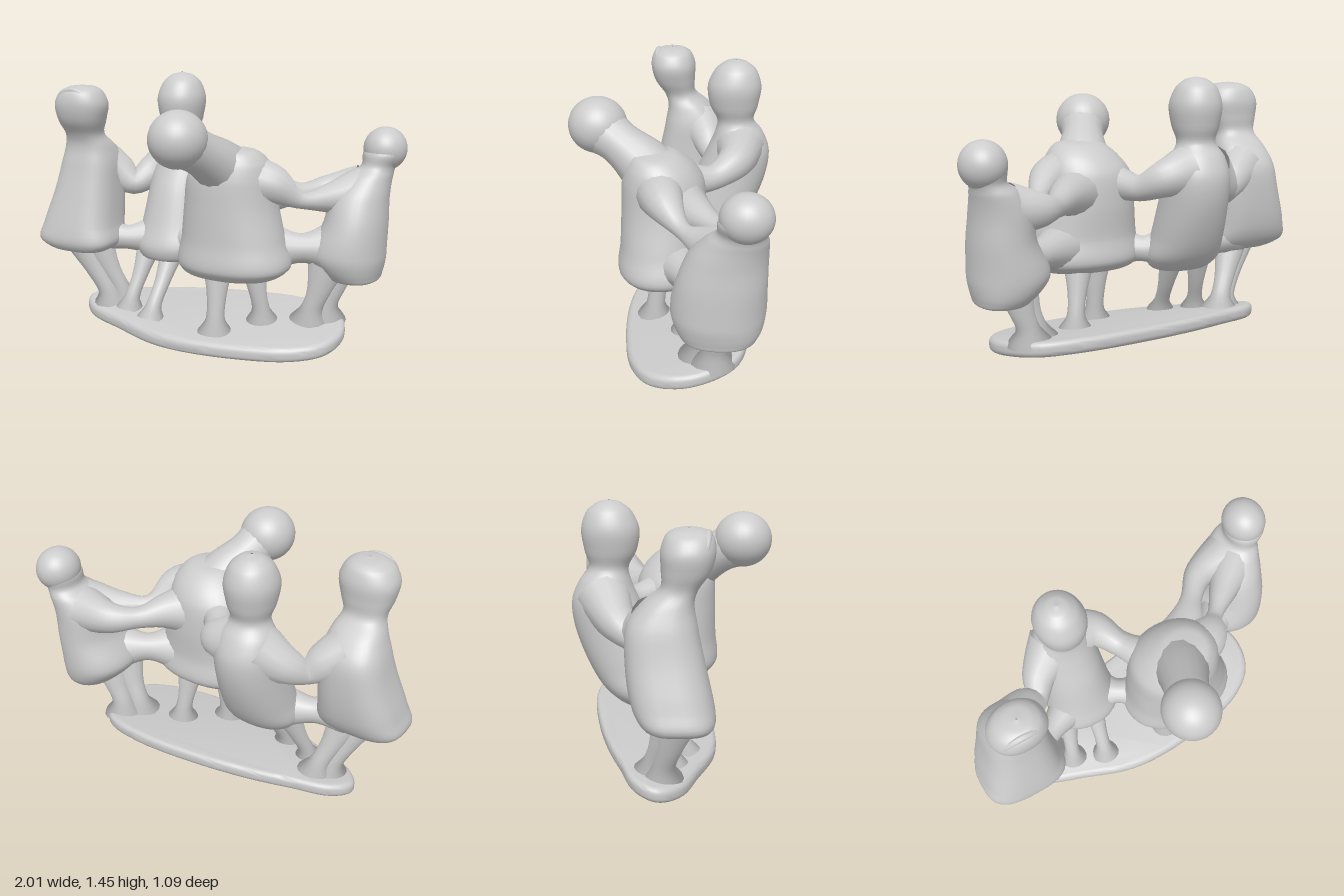
import * as THREE from 'three';
import { toCreasedNormals } from 'three/addons/utils/BufferGeometryUtils.js';

const material = new THREE.MeshStandardMaterial({ color: 0xcccccc, roughness: 0.8, side: THREE.DoubleSide });

function add(parent, name, geometry) {
  const mesh = new THREE.Mesh(geometry, material);
  mesh.name = name;
  parent.add(mesh);
  return mesh;
}

// Smooth loft through horizontal ovals: [y, x, z, radiusX, radiusZ], bottom to top.
// A lower power squares the hem; the ovals become round towards the top.
function loft(sections, power, steps = 56, sides = 36) {
  const path = new THREE.CatmullRomCurve3(sections.map(([y, x, z]) => new THREE.Vector3(x, y, z)));
  const size = new THREE.SplineCurve(sections.map((s) => new THREE.Vector2(s[3], s[4])));
  const pos = [], index = [];
  for (let i = 0; i <= steps; i++) {
    const t = i / steps, p = path.getPoint(t), r = size.getPoint(t);
    const soft = (v) => Math.sign(v) * Math.abs(v) ** (power + (1 - power) * t);
    for (let j = 0; j < sides; j++) {
      const a = (j / sides) * Math.PI * 2;
      pos.push(p.x + soft(Math.cos(a)) * Math.max(r.x, 0.003), p.y, p.z + soft(Math.sin(a)) * Math.max(r.y, 0.003));
      if (i === steps) continue;
      const k = i * sides + j, n = i * sides + ((j + 1) % sides);
      index.push(k, k + sides, n, n, k + sides, n + sides);
    }
  }
  const g = new THREE.BufferGeometry();
  g.setAttribute('position', new THREE.Float32BufferAttribute(pos, 3));
  g.setIndex(index);
  g.computeVertexNormals();
  return g;
}

// Tube whose radius varies along its path: [x, y, z, radius]
function limb(points, steps = 28, sides = 16) {
  const curve = new THREE.CatmullRomCurve3(points.map(([x, y, z]) => new THREE.Vector3(x, y, z)));
  const radii = new THREE.SplineCurve(points.map((p, i) => new THREE.Vector2(i, p[3])));
  const g = new THREE.TubeGeometry(curve, steps, 1, sides);
  const pos = g.attributes.position, v = new THREE.Vector3();
  for (let i = 0; i <= steps; i++) {
    const c = curve.getPointAt(i / steps);
    const r = radii.getPoint(curve.getUtoTmapping(i / steps)).y;
    for (let j = 0; j <= sides; j++) {
      const k = i * (sides + 1) + j;
      v.fromBufferAttribute(pos, k).sub(c).multiplyScalar(r).add(c);
      pos.setXYZ(k, v.x, v.y, v.z);
    }
  }
  return g;
}

function ball(parent, name, center, scale) {
  const mesh = add(parent, name, new THREE.SphereGeometry(1, 32, 24));
  mesh.position.set(...center);
  mesh.scale.set(...scale);
}

// Height of the sloping ground at depth z
const ground = (z) => 0.085 + (0.22 - z) * 0.16;

// Leg from hip to ankle, flaring out where it meets the ground
function leg(parent, hip, foot, r) {
  const [hx, hy, hz] = hip, [fx, fz] = foot, y = ground(fz);
  const mix = (a, b, t) => a + (b - a) * t;
  add(parent, 'leg', limb([
    [hx, hy, hz, r * 1.6],
    [mix(hx, fx, 0.5), mix(hy, y, 0.5), mix(hz, fz, 0.5), r],
    [mix(hx, fx, 0.88), y + 0.06, mix(hz, fz, 0.88), r * 0.95],
    [fx, y - 0.015, fz, r * 1.8],
  ]));
}

function figure(parent, name, power, sections) {
  const group = new THREE.Group();
  group.name = name;
  parent.add(group);
  add(group, 'dressAndBody', loft(sections, power));
  return group;
}

export function createModel() {
  const model = new THREE.Group();

  // Irregular oval base, sloping up towards the back
  const outline = [[-0.755, -0.07], [-0.69, -0.16], [-0.5, -0.23], [-0.3, -0.3], [0, -0.37], [0.4, -0.41], [0.63, -0.36],
    [0.75, -0.16], [0.72, 0.02], [0.58, 0.13], [0.3, 0.2], [0, 0.225], [-0.2, 0.205], [-0.45, 0.12], [-0.68, 0.03]];
  const rim = new THREE.CatmullRomCurve3(outline.map(([x, z]) => new THREE.Vector3(x, -z, 0)), true).getPoints(90);
  const slab = new THREE.ExtrudeGeometry(new THREE.Shape(rim.slice(0, -1).map((p) => new THREE.Vector2(p.x, p.y))),
    { depth: 0.02, bevelSize: 0.03, bevelThickness: 0.03, bevelSegments: 5 });
  slab.rotateX(-Math.PI / 2).translate(0, 0.03, 0);
  const sp = slab.attributes.position;
  for (let i = 0; i < sp.count; i++) sp.setY(i, sp.getY(i) + (0.25 - sp.getZ(i)) * 0.16);
  add(model, 'base', toCreasedNormals(slab, 0.9));

  // Far right dancer, upright, in a headscarf and a squarish coat
  const scarf = figure(model, 'scarfDancer', 0.6, [
    [0.52, -0.77, 0.03, 0.01, 0.01], [0.45, -0.74, 0.05, 0.13, 0.11], [0.5, -0.765, 0.035, 0.235, 0.175],
    [0.6, -0.765, 0.005, 0.22, 0.195], [0.8, -0.74, -0.03, 0.185, 0.185], [0.95, -0.725, -0.04, 0.165, 0.165],
    [1.05, -0.72, -0.01, 0.135, 0.12], [1.12, -0.72, 0.04, 0.11, 0.09], [1.2, -0.715, 0.07, 0.135, 0.115],
    [1.29, -0.71, 0.08, 0.152, 0.128], [1.36, -0.705, 0.085, 0.12, 0.11], [1.388, -0.7, 0.085, 0.07, 0.07], [1.397, -0.7, 0.085, 0.005, 0.005]]);
  const band = add(scarf, 'scarfEdge', new THREE.TorusGeometry(0.11, 0.018, 12, 40));
  band.position.set(-0.71, 1.265, 0.143);
  band.rotation.x = 0.25;
  leg(scarf, [-0.76, 0.5, 0.04], [-0.62, -0.04], 0.062);
  leg(scarf, [-0.69, 0.5, 0], [-0.57, -0.09], 0.06);

  // Tallest dancer, at the back, leaning away
  const tall = figure(model, 'tallDancer', 0.9, [
    [0.48, -0.28, -0.1, 0.01, 0.01], [0.41, -0.28, -0.12, 0.13, 0.1], [0.48, -0.28, -0.16, 0.2, 0.17],
    [0.6, -0.28, -0.22, 0.19, 0.19], [0.8, -0.28, -0.29, 0.175, 0.195], [0.95, -0.28, -0.33, 0.165, 0.17],
    [1.05, -0.28, -0.33, 0.14, 0.13], [1.12, -0.28, -0.31, 0.1, 0.1], [1.2, -0.28, -0.3, 0.12, 0.13],
    [1.31, -0.28, -0.3, 0.135, 0.145], [1.4, -0.28, -0.305, 0.105, 0.11], [1.443, -0.28, -0.305, 0.055, 0.055], [1.455, -0.28, -0.305, 0.005, 0.005]]);
  leg(tall, [-0.4, 0.5, -0.14], [-0.46, 0.01], 0.046);
  leg(tall, [-0.24, 0.5, -0.14], [-0.28, 0.08], 0.046);

  // Front dancer, bowing forward
  const bowing = figure(model, 'bowingDancer', 0.88, [
    [0.49, 0.2, 0.05, 0.01, 0.01], [0.42, 0.2, 0.05, 0.21, 0.14], [0.48, 0.215, 0.035, 0.31, 0.23],
    [0.62, 0.21, 0.035, 0.285, 0.22], [0.8, 0.195, 0.03, 0.255, 0.22], [0.95, 0.195, 0.035, 0.235, 0.21],
    [1.04, 0.215, 0.05, 0.19, 0.17], [1.1, 0.225, 0.07, 0.12, 0.11], [1.12, 0.225, 0.08, 0.005, 0.005]]);
  add(bowing, 'neck', limb([[0.21, 0.94, 0.05, 0.17], [0.17, 1.03, 0.15, 0.14], [0.12, 1.11, 0.27, 0.115], [0.08, 1.17, 0.37, 0.135]]));
  ball(bowing, 'head', [0.07, 1.185, 0.39], [0.15, 0.148, 0.155]);
  leg(bowing, [0.13, 0.5, 0.05], [0.13, 0.09], 0.055);
  leg(bowing, [0.28, 0.5, -0.06], [0.32, -0.11], 0.052);

  // Smallest dancer, at the far left
  const small = figure(model, 'smallDancer', 0.88, [
    [0.45, 0.77, -0.3, 0.01, 0.01], [0.39, 0.79, -0.3, 0.11, 0.15], [0.43, 0.77, -0.3, 0.155, 0.2],
    [0.53, 0.74, -0.295, 0.2, 0.23], [0.7, 0.775, -0.31, 0.165, 0.215], [0.85, 0.785, -0.34, 0.15, 0.185],
    [0.95, 0.825, -0.38, 0.115, 0.145], [1, 0.86, -0.4, 0.09, 0.115], [1.08, 0.885, -0.415, 0.105, 0.115], [1.14, 0.89, -0.42, 0.005, 0.005]]);
  ball(small, 'head', [0.885, 1.085, -0.42], [0.115, 0.117, 0.125]);
  leg(small, [0.66, 0.48, -0.2], [0.57, -0.2], 0.065);
  leg(small, [0.71, 0.48, -0.28], [0.63, -0.27], 0.065);

  // Arms joined hand to hand, shoulder to shoulder; the small dancer reaches out with both
  const arms = [
    [[-0.7, 0.95, -0.07, 0.13], [-0.61, 0.88, -0.13, 0.105], [-0.53, 0.81, -0.17, 0.065], [-0.46, 0.87, -0.26, 0.095], [-0.32, 0.98, -0.34, 0.14]],
    [[-0.24, 0.98, -0.34, 0.14], [-0.1, 0.94, -0.32, 0.1], [-0.01, 0.88, -0.21, 0.07], [0.06, 0.89, -0.1, 0.09], [0.16, 0.92, 0, 0.13]],
    [[0.24, 0.94, 0.05, 0.15], [0.41, 0.925, 0.01, 0.11], [0.53, 0.83, -0.1, 0.045], [0.64, 0.83, -0.2, 0.075], [0.79, 0.86, -0.33, 0.13]],
    [[0.24, 0.86, -0.02, 0.17], [0.38, 0.85, -0.15, 0.1], [0.48, 0.83, -0.26, 0.06], [0.59, 0.84, -0.36, 0.085], [0.76, 0.86, -0.39, 0.13]],
  ];
  arms.forEach((points) => add(model, 'joinedArms', limb(points)));

  // Folds where neighbouring skirts touch
  const folds = [
    [[-0.68, 0.54, -0.02, 0.12], [-0.53, 0.51, -0.07, 0.07], [-0.38, 0.52, -0.14, 0.11]],
    [[-0.18, 0.53, -0.14, 0.11], [-0.08, 0.52, -0.08, 0.07], [0.05, 0.54, 0, 0.12]],
    [[0.34, 0.57, -0.03, 0.16], [0.53, 0.56, -0.14, 0.08], [0.71, 0.56, -0.25, 0.16]],
  ];
  folds.forEach((points) => add(model, 'skirtFold', limb(points)));

  return model;
}
